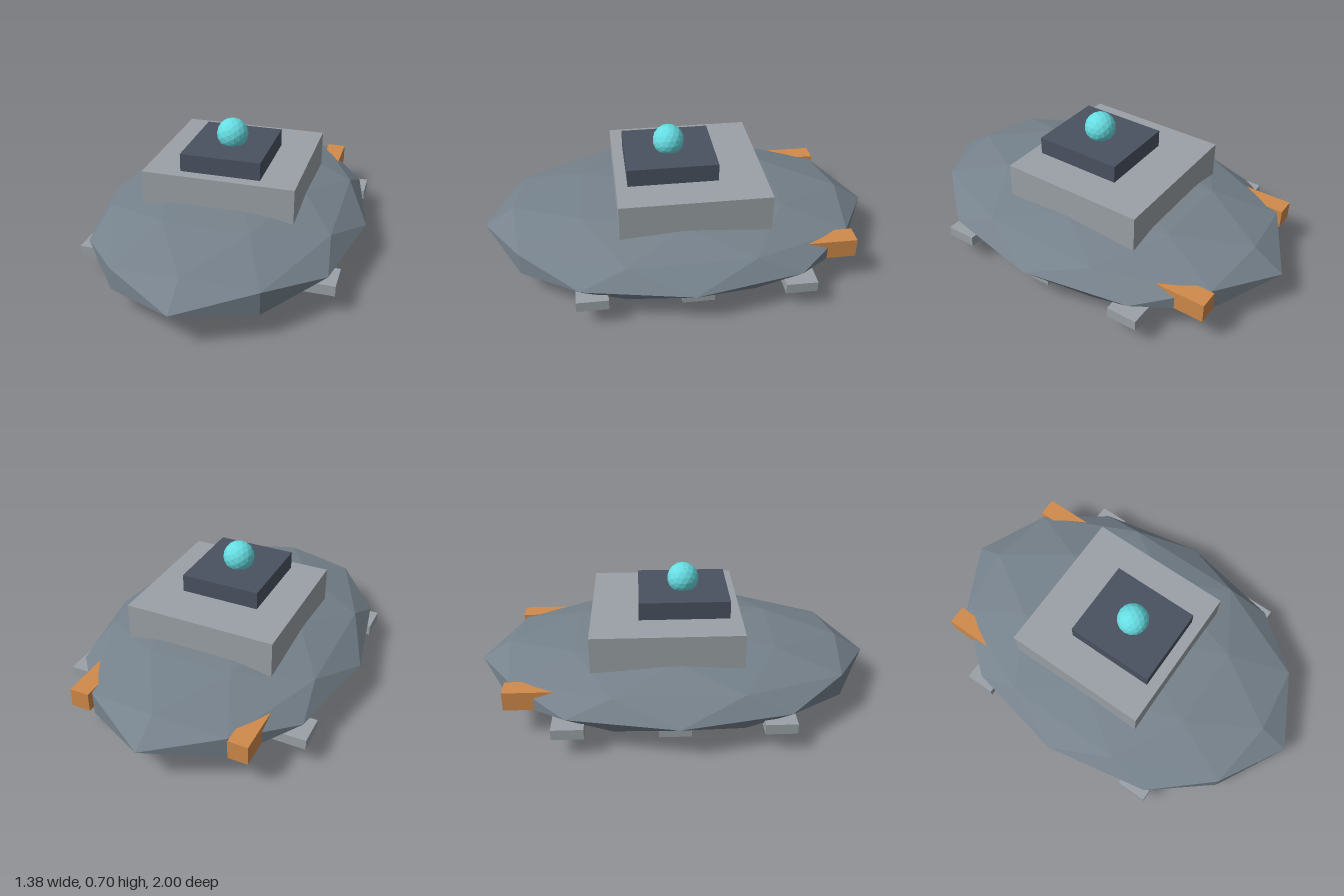
import * as THREE from 'three';

const mat = (color) => new THREE.MeshStandardMaterial({ color, flatShading: true });

export function createModel() {
  const root = new THREE.Group();
  root.name = 'saucerShip';

  const hullMat = mat(0x76828c);
  const plateMat = mat(0x9aa1a6);
  const darkMat = mat(0x4a5260);
  const engineMat = mat(0xd08a4a);
  const glassMat = mat(0x66dde2);

  const add = (name, geometry, material, x = 0, y = 0, z = 0) => {
    const mesh = new THREE.Mesh(geometry, material);
    mesh.name = name;
    mesh.position.set(x, y, z);
    root.add(mesh);
    return mesh;
  };

  // Box given by its minimum and maximum corners
  const box = (name, material, [x0, y0, z0], [x1, y1, z1]) =>
    add(name, new THREE.BoxGeometry(x1 - x0, y1 - y0, z1 - z0), material,
      (x0 + x1) / 2, (y0 + y1) / 2, (z0 + z1) / 2);

  // Faceted, flattened oval hull
  const hull = new THREE.IcosahedronGeometry(1, 1);
  hull.scale(0.69, 0.181, 1);
  add('hull', hull, hullMat, 0, 0.183, 0);

  // Stepped superstructure with a sensor ball on top
  box('upperDeck', plateMat, [-0.38, 0.305, -0.415], [0.38, 0.488, 0.325]);
  box('bridge', darkMat, [-0.2, 0.485, -0.18], [0.2, 0.578, 0.268]);
  add('sensorDome', new THREE.IcosahedronGeometry(0.079, 2), glassMat, 0, 0.622, 0.045);

  for (const side of [1, -1]) {
    const label = side > 0 ? 'left' : 'right';
    const span = (a, b) => (side > 0 ? [a, b] : [-b, -a]);

    // Rear engine block, sunk into the hull
    const [e0, e1] = span(0.355, 0.452);
    box(label + 'Engine', engineMat, [e0, 0.152, -0.83], [e1, 0.248, -0.5]);

    // Three side pods along the lower rim
    const [p0, p1] = span(0.42, 0.626);
    [0.472, -0.02, -0.515].forEach((z, i) =>
      box(`${label}SidePod${i + 1}`, plateMat, [p0, 0.102, z - 0.076], [p1, 0.154, z + 0.076]));
  }

  return root;
}
